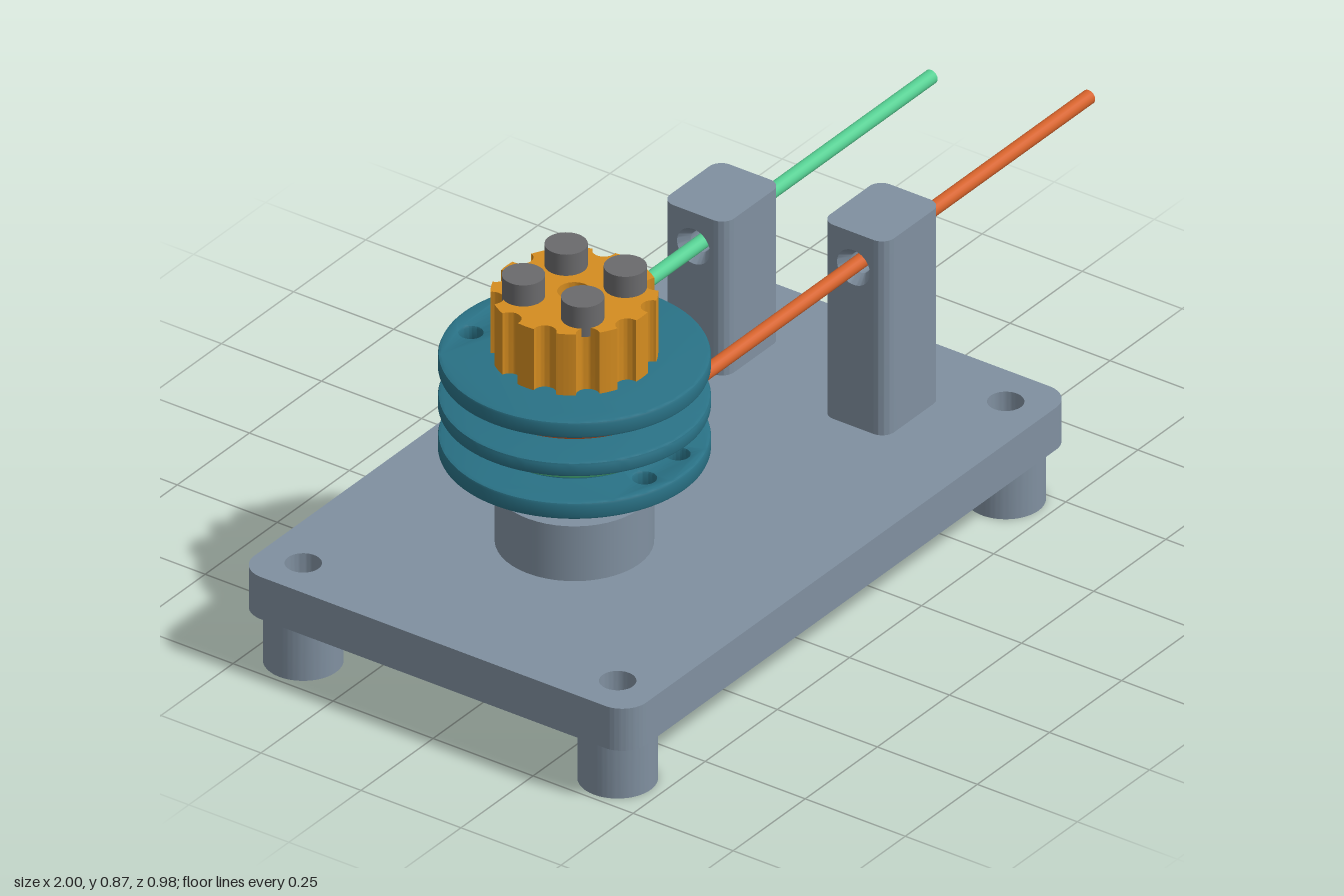
import * as THREE from 'three';
import { toCreasedNormals } from 'three/addons/utils/BufferGeometryUtils.js';

const AXIS_X = -0.51;
const SEG = 48;

const material = (name, color) => {
  const m = new THREE.MeshStandardMaterial({ color });
  m.name = name;
  return m;
};

// Circle path; shape y runs towards -z once laid flat
const circle = (r, x = 0, y = 0, Type = THREE.Shape) => {
  const p = new Type();
  p.absarc(x, y, r, 0, Math.PI * 2, false);
  return p;
};
const hole = (r, x = 0, y = 0) => circle(r, x, y, THREE.Path);

// Rounded rectangle; the right and left corner radii may differ
function roundedRect(x0, x1, y0, y1, rTop, rBottom = rTop) {
  const s = new THREE.Shape();
  const corner = (x, y, r, a) => r > 0 ? s.absarc(x, y, r, a, a + Math.PI / 2, false) : s.lineTo(x, y);
  s.moveTo(x0 + rBottom, y0);
  s.lineTo(x1 - rBottom, y0);
  corner(x1 - rBottom, y0 + rBottom, rBottom, -Math.PI / 2);
  corner(x1 - rTop, y1 - rTop, rTop, 0);
  corner(x0 + rTop, y1 - rTop, rTop, Math.PI / 2);
  corner(x0 + rBottom, y0 + rBottom, rBottom, Math.PI);
  return s;
}

// Horizontal slab from y0 to y1 with an optional edge bevel
function slab(shape, y0, y1, bevel = 0, curveSegments = SEG) {
  const g = new THREE.ExtrudeGeometry(shape, {
    depth: y1 - y0 - 2 * bevel, curveSegments, bevelEnabled: bevel > 0,
    bevelThickness: bevel, bevelSize: bevel, bevelOffset: -bevel, bevelSegments: 2,
  });
  g.rotateX(-Math.PI / 2).translate(0, y0 + bevel, 0);
  return toCreasedNormals(g, 0.5);
}

function disc(r, y0, y1) {
  return new THREE.CylinderGeometry(r, r, y1 - y0, SEG).translate(0, (y0 + y1) / 2, 0);
}

export function createModel() {
  const grey = material('slate grey', 0x8090a0);
  const collarGrey = material('collar grey', 0x88929b);
  const dark = material('dark steel', 0x6a6a6c);
  const teal = material('teal', 0x297185);
  const amber = material('amber', 0xd48c20);
  const copper = material('copper orange', 0xd5622b);
  const green = material('mint green', 0x55cf92);

  const model = new THREE.Group();
  const add = (parent, name, geometry, mat) => {
    const m = new THREE.Mesh(geometry, mat);
    m.name = name;
    parent.add(m);
    return m;
  };
  const group = (name, x = 0) => {
    const g = new THREE.Group();
    g.name = name;
    g.position.x = x;
    model.add(g);
    return g;
  };

  // Base plate with corner holes and hollow feet
  const plate = roundedRect(-1, 0.54, -0.49, 0.49, 0.06);
  plate.holes.push(hole(0.11, AXIS_X, 0));
  for (const x of [-0.905, 0.44]) for (const z of [-0.393, 0.393]) {
    plate.holes.push(hole(0.038, x, z));
    const ring = circle(0.082);
    ring.holes.push(hole(0.038));
    add(model, 'foot', slab(ring, 0, 0.13), grey).position.set(x, 0, z);
  }
  add(model, 'basePlate', slab(plate, 0.13, 0.23, 0, 24), grey);

  // Bearing boss, shaft and lower stop collar
  const spindle = group('spindle', AXIS_X);
  add(spindle, 'bearingBoss', disc(0.162, 0.225, 0.36), grey);
  add(spindle, 'bearing', disc(0.11, 0.14, 0.226), grey);
  add(spindle, 'shaft', disc(0.03, 0.055, 0.8), dark);
  add(spindle, 'upperWasher', disc(0.057, 0.36, 0.38), collarGrey);
  add(spindle, 'lowerWasher', disc(0.057, 0.115, 0.128), collarGrey);
  add(spindle, 'washerNeck', disc(0.035, 0.128, 0.14), collarGrey);
  const stop = circle(0.081);
  stop.holes.push(hole(0.036));
  add(spindle, 'stopCollar', slab(stop, 0.035, 0.115), dark);
  add(spindle, 'hubCollar', disc(0.155, 0.38, 0.446), collarGrey);
  const screw = new THREE.CylinderGeometry(0.02, 0.02, 0.008, 24).rotateX(Math.PI / 2);
  add(spindle, 'setScrew', screw, dark).position.set(0, 0.418, 0.153);

  // Double grooved spool; outer flanges carry wire anchor holes
  const spool = group('spool', AXIS_X);
  add(spool, 'spoolCore', disc(0.18, 0.46, 0.66), teal);
  const flanges = [[0.445, 0.484, -1], [0.546, 0.579, 0], [0.637, 0.675, 1]];
  for (const [y0, y1, side] of flanges) {
    const s = circle(0.277);
    if (side) for (const x of [-0.058, 0.058]) s.holes.push(hole(0.024, x, side * 0.217));
    add(spool, 'flange', slab(s, y0, y1, 0.006), teal);
  }

  // Fluted knob: twelve concave cuts around the rim
  const knob = group('knob', AXIS_X);
  const outline = new THREE.Shape();
  const R = 0.17, half = 0.143, cut = 0.0245;
  for (let i = 0; i < 12; i++) {
    const a = (i + 0.5) * Math.PI / 6;
    outline.absarc(0, 0, R, a - Math.PI / 6 + half, a - half, false);
    outline.absarc(R * Math.cos(a), R * Math.sin(a), cut, a - Math.PI / 2 - half / 2, a + Math.PI / 2 + half / 2 - 2 * Math.PI, true);
  }
  outline.holes.push(hole(0.035));
  add(knob, 'flutedGrip', slab(outline, 0.675, 0.82, 0, 10), amber);
  add(knob, 'shaftSeat', disc(0.035, 0.77, 0.79), collarGrey);
  for (const x of [-0.074, 0.074]) for (const z of [-0.074, 0.074])
    add(knob, 'bolt', disc(0.044, 0.8, 0.87), dark).position.set(x, 0, z);

  // Guide posts: drilled middle, rounded cheeks and countersunk bore
  const addPost = (name, z, top, wireY) => {
    const post = group(name, 0.278);
    post.position.z = z;
    const mid = new THREE.Shape([[-0.05, 0.23], [0.05, 0.23], [0.05, top], [-0.05, top]]
      .map(([x, y]) => new THREE.Vector2(x, y)));
    mid.holes.push(hole(0.041, 0, wireY));
    const block = new THREE.ExtrudeGeometry(mid, { depth: 0.196, bevelEnabled: false, curveSegments: 24 });
    block.translate(0, 0, -0.098).rotateY(Math.PI / 2);
    add(post, 'postMiddle', toCreasedNormals(block, 0.5), grey);
    for (const turn of [0, Math.PI]) {
      const cheek = slab(roundedRect(-0.098, 0.098, 0.05, 0.08, 0.03, 0), 0.23, top, 0, 10);
      add(post, 'postCheek', cheek, grey).rotation.y = turn;
    }
    const bore = [[0.041, 0.098], [0.024, 0.073], [0.024, -0.073], [0.041, -0.098]]
      .map(([r, y]) => new THREE.Vector2(r, y));
    const liner = toCreasedNormals(new THREE.LatheGeometry(bore, 48), 0.4).rotateZ(-Math.PI / 2);
    add(post, 'wireBore', liner, grey).position.y = wireY;
  };
  addPost('frontGuidePost', 0.2, 0.69, 0.607);
  addPost('rearGuidePost', -0.2, 0.595, 0.515);

  // Wires: a straight run meeting a partial wrap around the spool
  const addWire = (name, side, y, mat) => {
    const wire = group(name, AXIS_X);
    wire.position.y = y;
    wire.scale.z = side;
    const r = 0.016, wrapR = 0.197, arc = Math.PI * 165 / 180;
    const run = new THREE.CylinderGeometry(r, r, 1 - AXIS_X, 20).rotateZ(Math.PI / 2);
    add(wire, 'wireRun', run, mat).position.set((1 - AXIS_X) / 2, 0, wrapR);
    const wrap = new THREE.TorusGeometry(wrapR, r, 16, 40, arc).rotateZ(Math.PI / 2).rotateX(Math.PI / 2);
    add(wire, 'wireWrap', wrap, mat);
    const end = Math.PI / 2 + arc;
    add(wire, 'wireEnd', new THREE.SphereGeometry(r, 16, 10), mat)
      .position.set(wrapR * Math.cos(end), 0, wrapR * Math.sin(end));
  };
  addWire('frontWire', 1, 0.607, copper);
  addWire('rearWire', -1, 0.515, green);

  return model;
}
